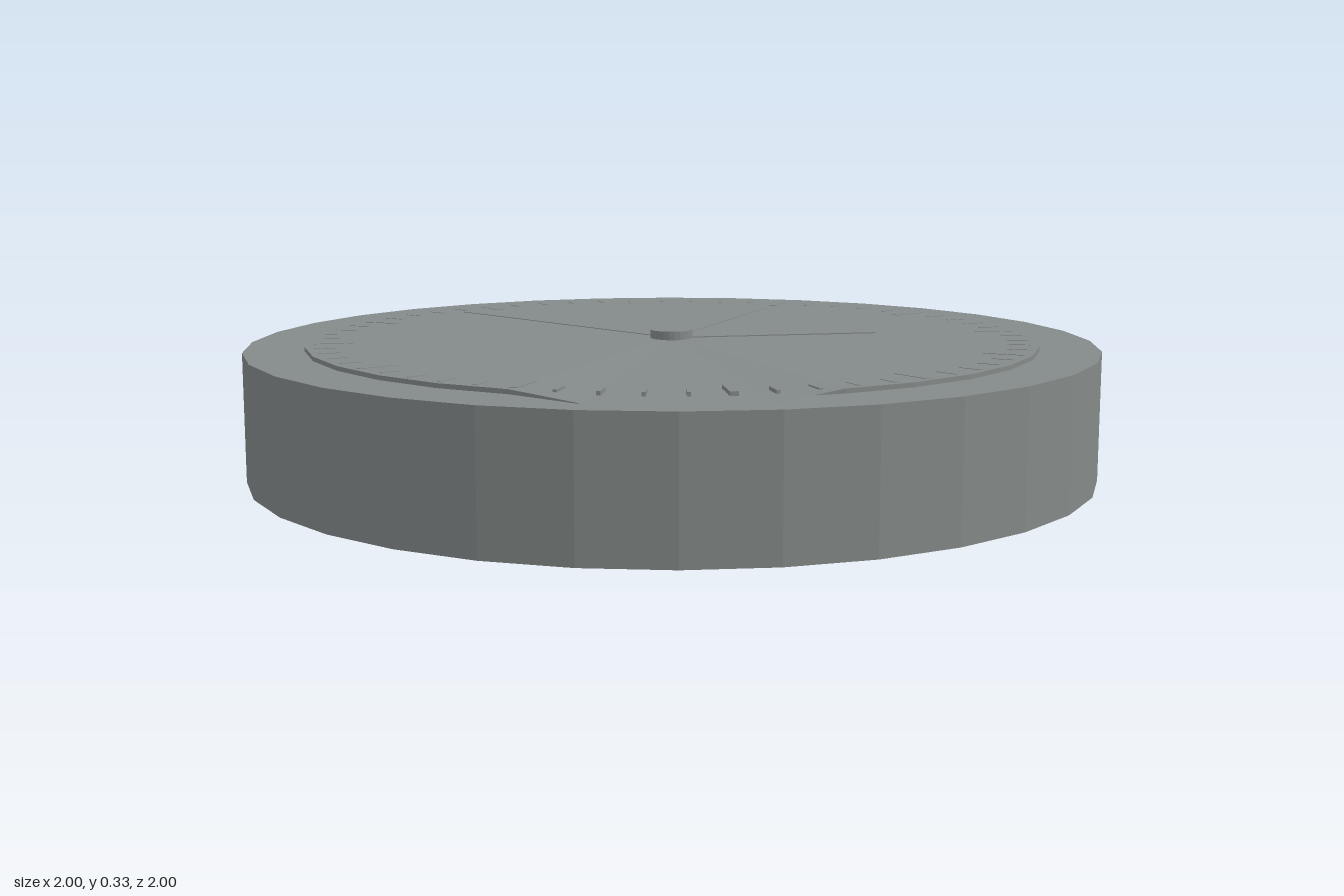
import * as THREE from 'three';

const material = new THREE.MeshStandardMaterial({ color: 0x848a89, flatShading: true });

function add(parent, name, geometry) {
  const mesh = new THREE.Mesh(geometry, material);
  mesh.name = name;
  parent.add(mesh);
  return mesh;
}

function disc(parent, name, radius, bottom, top, sides) {
  const g = new THREE.CylinderGeometry(radius, radius, top - bottom, sides);
  return add(parent, name, g.translate(0, (bottom + top) / 2, 0));
}

// Flat bar lying on the dial, from radius r0 to r1; degrees run clockwise from -z
function radialBar(parent, name, degrees, r0, r1, width, top) {
  const bottom = 0.295;
  const g = new THREE.BoxGeometry(width, top - bottom, r1 - r0);
  g.translate(0, (bottom + top) / 2, -(r0 + r1) / 2);
  add(parent, name, g).rotation.y = -THREE.MathUtils.degToRad(degrees);
}

// Flare part of the dial's upper edge outwards and down to the case
function slopeEdge(dial) {
  const p = dial.geometry.attributes.position;
  for (let i = 0; i < p.count; i++) {
    const x = p.getX(i), z = p.getZ(i);
    const degrees = THREE.MathUtils.radToDeg(Math.atan2(x, z));
    if (p.getY(i) > 0.3 && Math.hypot(x, z) > 0.5 && degrees > 5 && degrees < 40) {
      p.setXYZ(i, x * 1.085, 0.301, z * 1.085);
    }
  }
  dial.geometry.computeVertexNormals();
}

export function createModel() {
  const clock = new THREE.Group();
  clock.name = 'clock';

  // Case and raised dial
  disc(clock, 'case', 1, 0, 0.3, 32);
  slopeEdge(disc(clock, 'dial', 0.86, 0.29, 0.31, 32));

  // Hour and minute marks
  const marks = new THREE.Group();
  marks.name = 'marks';
  clock.add(marks);
  for (let i = 0; i < 60; i++) {
    if (i % 5 === 0) radialBar(marks, 'hourMark', i * 6, 0.75, 0.84, 0.018, 0.311);
    else radialBar(marks, 'minuteMark', i * 6, 0.79, 0.84, 0.008, 0.311);
  }

  // Hands and the hub they turn on
  radialBar(clock, 'hourHand', 57.5, 0, 0.5, 0.03, 0.3125);
  radialBar(clock, 'minuteHand', -67.5, 0, 0.77, 0.02, 0.3115);
  radialBar(clock, 'secondHand', 0, 0, 0.68, 0.01, 0.3115);
  disc(clock, 'hub', 0.05, 0.305, 0.33, 24).position.z = 0.005;

  return clock;
}
